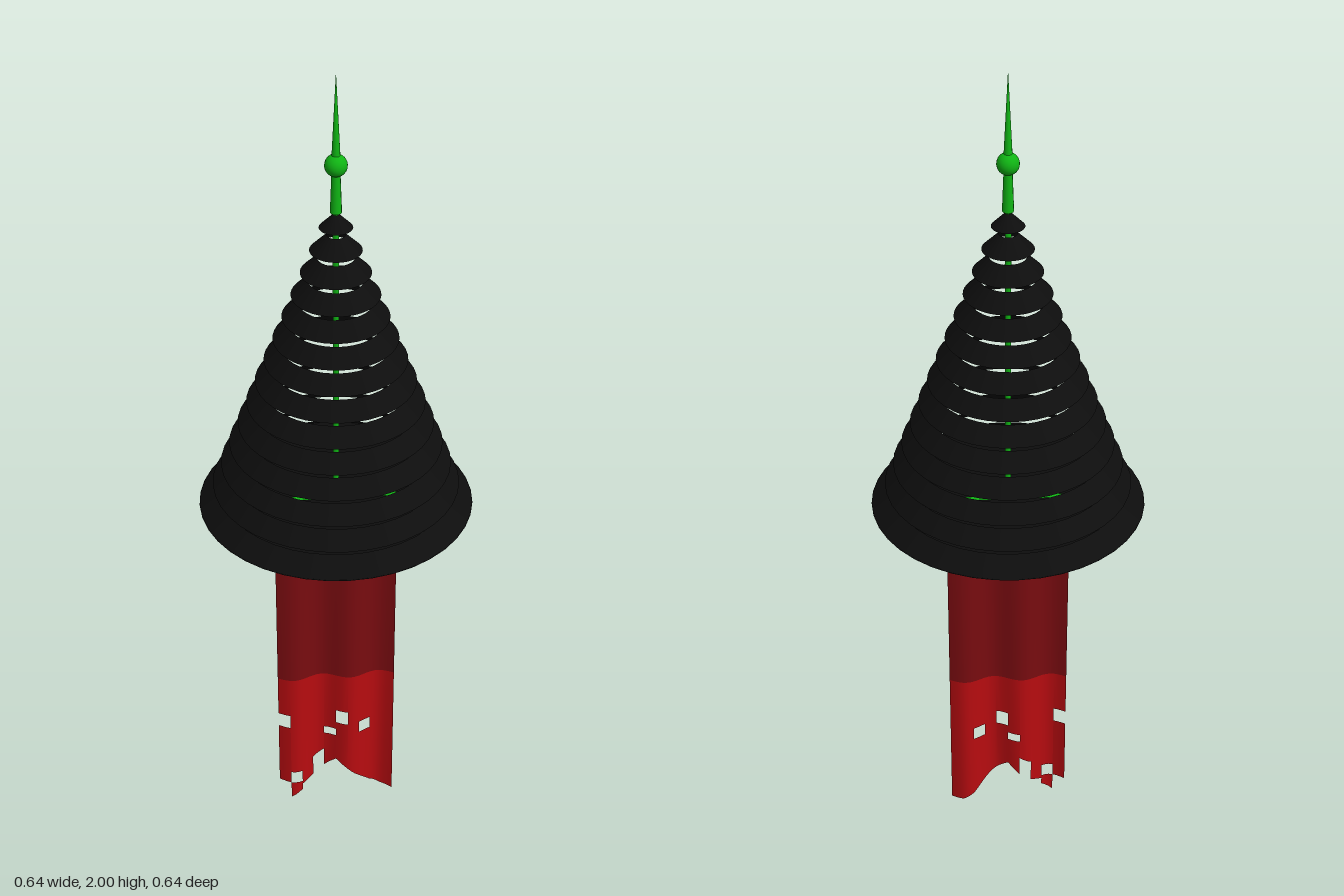
import * as THREE from 'three';
import { mergeVertices } from 'three/addons/utils/BufferGeometryUtils.js';

const mat = (name, color) => {
  const m = new THREE.MeshStandardMaterial({ color, side: THREE.DoubleSide });
  m.name = name;
  return m;
};

export function createModel() {
  const root = new THREE.Group();
  const black = mat('black', 0x0d0d0d);
  const green = mat('green', 0x10b414);
  const red = mat('red', 0xb80c10);
  const darkRed = mat('dark red', 0x7a0c10);
  const deepRed = mat('deep red', 0x3a0b0d);

  const add = (name, geometry, material, y = 0, parent = root) => {
    const mesh = new THREE.Mesh(geometry, material);
    mesh.name = name;
    mesh.position.y = y;
    parent.add(mesh);
    return mesh;
  };

  // Canopy: hollow sloping bands with gaps between them
  const canopy = new THREE.Group();
  canopy.name = 'canopy';
  root.add(canopy);
  const count = 14, bandHeight = 0.037, pitch = 0.0545, base = 0.936;
  for (let i = 0; i < count; i++) {
    const r = i === 0 ? 0.318 : 0.037 + (count - 1 - i) * 0.0207;
    const top = i === 0 ? 0.27 : Math.max(r - 0.037, 0.001);
    add('canopyBand', new THREE.CylinderGeometry(top, r, bandHeight, 40, 1, true),
      black, base + i * pitch + bandHeight / 2, canopy);
  }
  // Underside closing the lowest band
  add('canopyUnderside', new THREE.CircleGeometry(0.317, 40).rotateX(Math.PI / 2), black, base + 0.001, canopy);

  // Central pole, crossbar and finial
  add('pole', new THREE.CylinderGeometry(0.007, 0.007, 0.79, 12), green, 1.305);
  add('crossbar', new THREE.CylinderGeometry(0.006, 0.006, 0.34, 10).rotateZ(Math.PI / 2), green, 0.936);
  add('finialStem', new THREE.CylinderGeometry(0.009, 0.013, 0.11, 12), green, 1.735);
  add('finialBall', new THREE.SphereGeometry(0.025, 20, 14), green, 1.79);
  add('finialSpike', new THREE.ConeGeometry(0.01, 0.2, 12), green, 1.9);

  // Banner: columns of cloth with folds that deepen towards the hem
  const width = 0.29, columns = 10, cell = width / columns;
  const fold = (x, y) => (0.004 + 0.012 * (1 - y / 0.94)) * Math.sin(x * 45);
  // spans(column) gives pieces as [bottomLeft, bottomRight, top]
  const cloth = (name, spans, material) => {
    const positions = [], index = [], sub = 3;
    for (let c = 0; c < columns; c++) {
      for (const [left, right, top] of spans(c)) {
        for (let s = 0; s < sub; s++) {
          const start = positions.length / 3;
          for (const t of [s / sub, (s + 1) / sub]) {
            const x = -width / 2 + (c + t) * cell;
            const y = left + (right - left) * t;
            positions.push(x, y, fold(x, y), x, top, fold(x, top));
          }
          index.push(start, start + 2, start + 3, start, start + 3, start + 1);
        }
      }
    }
    let g = new THREE.BufferGeometry();
    g.setAttribute('position', new THREE.Float32BufferAttribute(positions, 3));
    g.setIndex(index);
    g = mergeVertices(g, 1e-5);
    g.computeVertexNormals();
    add(name, g, material);
  };

  // Torn hem heights at each column's left and right edge
  const hem = [[0.05, 0.05], [0.0, 0.022], [0.04, 0.055], [0.115, 0.135], [0.08, 0.11],
    [0.11, 0.085], [0.085, 0.055], [0.055, 0.022], [0.022, 0.004], [0.004, 0.0]];
  // Square holes by column: [bottom, top]
  const holes = { 0: [0.235, 0.275], 1: [0.05, 0.085], 4: [0.19, 0.212], 5: [0.235, 0.275], 7: [0.203, 0.237] };
  cloth('bannerHem', (c) => {
    const [l, r] = hem[c], h = holes[c];
    return h ? [[l, r, h[0]], [h[1], h[1], 0.39]] : [[l, r, 0.39]];
  }, red);
  cloth('bannerMiddle', () => [[0.39, 0.39, 0.84]], darkRed);
  cloth('bannerTop', () => [[0.84, 0.84, 0.936]], deepRed);

  return root;
}
